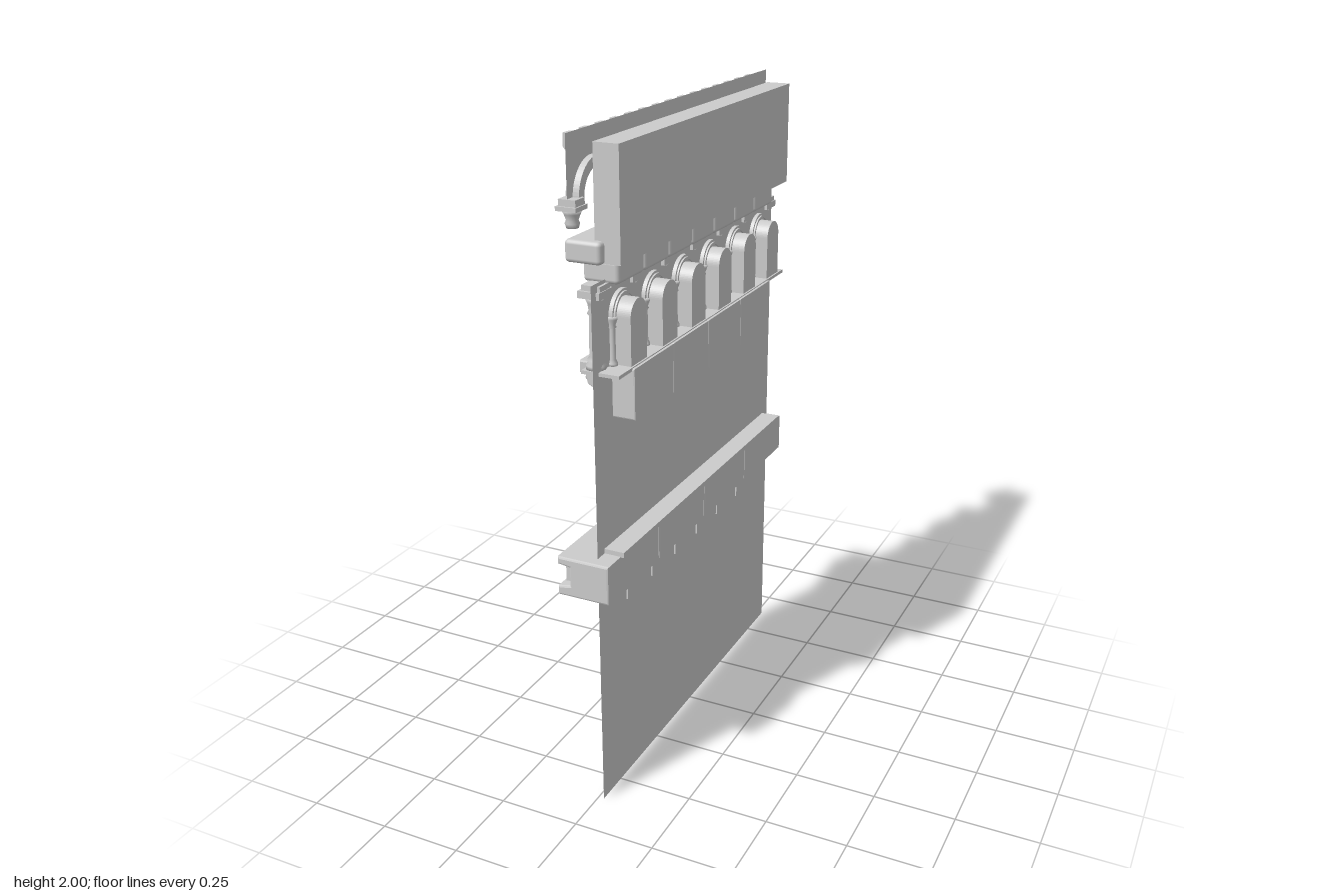
import * as THREE from 'three';
import { RoundedBoxGeometry } from 'three/addons/geometries/RoundedBoxGeometry.js';

export function createModel() {
  const root = new THREE.Group();
  const mat = new THREE.MeshStandardMaterial({ color: 0xcccccc, side: THREE.DoubleSide });

  const add = (name, geo, x = 0, y = 0, z = 0) => {
    const m = new THREE.Mesh(geo, mat);
    m.name = name;
    m.position.set(x, y, z);
    root.add(m);
    return m;
  };
  // Box given by its limits on each axis
  const box = (name, x0, x1, y0, y1, z0, z1, r = 0) => {
    const s = [x1 - x0, y1 - y0, z1 - z0];
    const geo = r ? new RoundedBoxGeometry(...s, 2, r) : new THREE.BoxGeometry(...s);
    return add(name, geo, (x0 + x1) / 2, (y0 + y1) / 2, (z0 + z1) / 2);
  };
  // Profile in x, y run along z
  const run = (name, pts, z0, z1, bevel = 0) => add(name, new THREE.ExtrudeGeometry(
    new THREE.Shape(pts.map(p => new THREE.Vector2(...p))),
    { depth: z1 - z0 - 2 * bevel, bevelEnabled: bevel > 0, bevelThickness: bevel, bevelSize: bevel, bevelOffset: -bevel, bevelSegments: 2 }
  ), 0, 0, z0 + bevel);
  // Shape drawn in z, y and lying across x (from xBack towards -x)
  const across = (name, shape, xBack, depth) => {
    const geo = depth
      ? new THREE.ExtrudeGeometry(shape, { depth, bevelEnabled: false, curveSegments: 16 })
      : new THREE.ShapeGeometry(shape, 16);
    return add(name, geo.rotateY(-Math.PI / 2), xBack);
  };
  const archPath = (Path, z, y0, ySpring, r) => {
    const p = new Path();
    p.moveTo(z - r, y0);
    p.lineTo(z + r, y0);
    p.lineTo(z + r, ySpring);
    p.absarc(z, ySpring, r, 0, Math.PI, false);
    p.lineTo(z - r, y0);
    return p;
  };
  const archBand = (name, z, y, rIn, rOut, xBack, depth) => {
    const s = new THREE.Shape();
    s.absarc(z, y, rOut, 0, Math.PI, false);
    s.absarc(z, y, rIn, Math.PI, 0, true);
    return across(name, s, xBack, depth);
  };
  const lathe = (name, pts, x, y, z, seg = 16) =>
    add(name, new THREE.LatheGeometry(pts.map(p => new THREE.Vector2(...p)), seg), x, y, z);

  // Flat wall with arched openings
  const niches = Array.from({ length: 6 }, (_, i) => 0.452 - i * 0.192);
  const wall = new THREE.Shape();
  wall.moveTo(-0.63, 0);
  wall.lineTo(0.61, 0);
  wall.lineTo(0.61, 1.6);
  wall.lineTo(-0.63, 1.6);
  wall.closePath();
  niches.forEach(z => wall.holes.push(archPath(THREE.Path, z, 1.352, 1.488, 0.045)));
  across('wall', wall, 0.018, 0);

  // Lower ledge: four channel-shaped stones with small posts in the recess
  const channel = [[-0.093, 0.69], [0.07, 0.69], [0.07, 0.81], [-0.093, 0.81], [-0.093, 0.787],
    [-0.055, 0.782], [-0.055, 0.725], [-0.093, 0.718]];
  const cuts = [-0.632, -0.315, 0.008, 0.328, 0.645];
  for (let i = 0; i < 4; i++) run('lowerLedgeStone', channel, cuts[i], cuts[i + 1], 0.006);
  box('lowerLedgeStrip', 0.012, 0.08, 0.808, 0.824, -0.59, 0.57);
  for (let i = 0; i < 15; i++) {
    const z = -0.58 + i * 0.084;
    box('ledgePost', -0.084, -0.05, 0.715, 0.79, z - 0.016, z + 0.016);
  }

  // Stepped corbels under the lower ledge
  const corbel = [[0.023, 0.6], [0.023, 0.695], [-0.055, 0.695], [-0.05, 0.675], [-0.033, 0.67],
    [-0.025, 0.65], [-0.008, 0.642], [-0.002, 0.615], [0.008, 0.6]];
  for (let i = 0; i < 6; i++) run('corbel', corbel, 0.377 - i * 0.16, 0.443 - i * 0.16);

  // Upper ledge: four stones with a stepped concave underside
  const stepped = [[0, 1.2], [0.088, 1.2], [0.088, 1.35], [-0.084, 1.35], [-0.084, 1.315], [-0.066, 1.31],
    [-0.06, 1.285], [-0.042, 1.275], [-0.036, 1.25], [-0.02, 1.242], [-0.016, 1.222], [0, 1.215]];
  for (let i = 0; i < 4; i++) run('upperLedgeStone', stepped, -0.46 + i * 0.241, -0.46 + (i + 1) * 0.241, 0.004);
  // Carved leaves along the ledge steps
  for (let row = 0; row < 3; row++) for (let i = 0; i < 24; i++) {
    const leaf = add('ledgeCarving', new THREE.SphereGeometry(0.011, 6, 4),
      -0.068 + row * 0.023, 1.3 - row * 0.034, -0.44 + i * 0.04);
    leaf.scale.set(0.7, 1, 1.4);
  }
  box('arcadeSill', -0.035, 0.08, 1.343, 1.353, -0.59, 0.58);

  // Arched niches with thin flanking columns and arch mouldings
  const colonnette = [[0, 0], [0.014, 0], [0.014, 0.008], [0.009, 0.018], [0.008, 0.105], [0.012, 0.11],
    [0.009, 0.115], [0.015, 0.132], [0.015, 0.14], [0, 0.14]];
  for (const z of niches) {
    const shell = archPath(THREE.Shape, z, 1.35, 1.488, 0.047);
    shell.holes.push(archPath(THREE.Path, z, 1.353, 1.488, 0.044));
    across('nicheShell', shell, 0.075, 0.057);
    across('nicheBack', archPath(THREE.Shape, z, 1.35, 1.488, 0.046), 0.075, 0);
    archBand('nicheMoulding', z, 1.49, 0.045, 0.066, 0.03, 0.03);
    archBand('nicheMouldingRib', z, 1.49, 0.052, 0.059, 0.035, 0.04);
    for (const s of [-1, 1]) lathe('nicheColumn', colonnette, 0.023, 1.352, z + s * 0.055, 12);
  }

  // Large columns between the niches
  const column = [[0, 0], [0.028, 0], [0.028, 0.012], [0.023, 0.02], [0.024, 0.028], [0.018, 0.036],
    [0.016, 0.15], [0.021, 0.156], [0.017, 0.164], [0.02, 0.185], [0.03, 0.205], [0, 0.205]];
  for (let i = 0; i < 7; i++) {
    const z = 0.548 - i * 0.192;
    lathe('column', column, -0.006, 1.352, z);
    box('columnCap', -0.038, 0.028, 1.555, 1.575, z - 0.036, z + 0.036);
    box('columnImpost', -0.03, 0.026, 1.575, 1.59, z - 0.028, z + 0.028);
  }

  // Two courses of rounded stones
  for (let i = 0; i < 7; i++)
    box('lowerCourseStone', -0.05, 0.058, 1.586, 1.65, -0.54 + i * 0.153, -0.54 + (i + 1) * 0.153, 0.012);
  for (let i = 0; i < 6; i++)
    box('upperCourseStone', -0.07, 0.038, 1.65, 1.712, -0.47 + i * 0.177, -0.47 + (i + 1) * 0.177, 0.012);

  // Plain slab behind the crowning arches
  box('slab', 0.01, 0.085, 1.652, 1.966, -0.592, 0.568);

  // Crowning panel scalloped by six arches
  const pitch = 0.213, first = 0.645, spring = 1.83;
  const crown = new THREE.Shape();
  crown.moveTo(-0.63, 2);
  crown.lineTo(-0.63, spring);
  for (let i = 5; i >= 0; i--) {
    const c = first - pitch * (i + 0.5);
    crown.lineTo(c - 0.085, spring);
    crown.absarc(c, spring, 0.085, Math.PI, 0, true);
  }
  crown.lineTo(0.665, spring);
  crown.lineTo(0.665, 2);
  across('crownPanel', crown, -0.012, 0);
  for (let i = 0; i < 6; i++) {
    const c = first - pitch * (i + 0.5);
    archBand('crownArch', c, spring, 0.07, 0.098, 0.006, 0.036);
    archBand('crownArchRib', c, spring, 0.078, 0.09, 0.006, 0.043);
  }

  // Hanging capitals where the arches meet
  const pendant = [[0, 0], [0.016, 0], [0.02, 0.012], [0.016, 0.02], [0.022, 0.036], [0.028, 0.048], [0, 0.048]];
  for (let i = 0; i < 7; i++) {
    const z = first - pitch * i;
    lathe('pendant', pendant, -0.01, 1.76, z);
    box('pendantCap', -0.042, 0.018, 1.806, 1.818, z - 0.03, z + 0.03);
    box('pendantImpost', -0.036, 0.014, 1.818, 1.836, z - 0.024, z + 0.024);
  }

  // Tapered brackets along the top
  const bracket = [[-0.012, 1.925], [-0.012, 1.99], [-0.052, 1.99], [-0.052, 1.955], [-0.036, 1.935], [-0.03, 1.925]];
  for (let i = 0; i < 15; i++) {
    const z = 0.592 - i * 0.0825;
    run('crownBracket', bracket, z - 0.017, z + 0.017);
  }
  return root;
}
